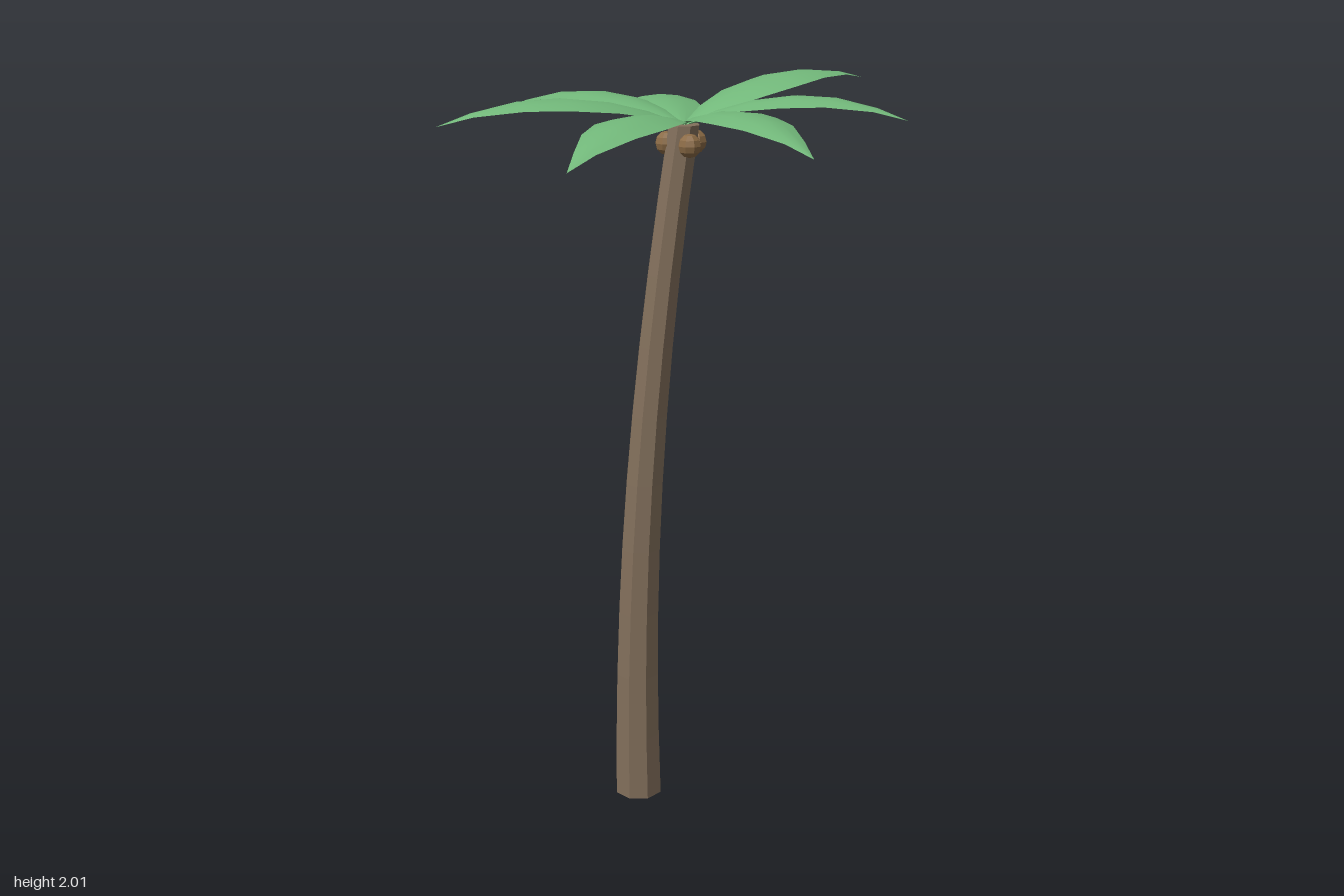
import * as THREE from 'three';

const CROWN = new THREE.Vector3(0.02, 1.9, -0.03);

// Curved, tapering eight-sided trunk
function makeTrunk() {
  const height = 1.9;
  const geo = new THREE.CylinderGeometry(1, 1, height, 8, 10);
  geo.translate(0, height / 2, 0);
  const p = geo.attributes.position;
  for (let i = 0; i < p.count; i++) {
    const t = p.getY(i) / height;
    const r = 0.041 + 0.027 * Math.pow(Math.max(0, 1 - t), 1.3);
    p.setX(i, p.getX(i) * r - 0.115 + 0.135 * t * t);
    p.setZ(i, p.getZ(i) * r - 0.03 + 0.024 * Math.sin(Math.PI * t));
  }
  geo.computeVertexNormals();
  const mesh = new THREE.Mesh(geo, new THREE.MeshStandardMaterial({ color: 0x83705c, flatShading: true }));
  mesh.name = 'trunk';
  return mesh;
}

// Leaf stations: fraction of length, half width
const STATIONS = [[0, 0.006], [0.15, 0.052], [0.31, 0.084], [0.49, 0.095], [0.67, 0.071], [0.86, 0.029], [1, 0]];

// Arched leaf from the crown to its tip, edges drooping from the midrib
function makeLeaf(tip, material) {
  const dir = new THREE.Vector3(tip.x - CROWN.x, 0, tip.z - CROWN.z).normalize();
  const side = new THREE.Vector3(dir.z, 0, -dir.x);
  const cols = 5, pos = [], index = [];
  STATIONS.forEach(([t, w], i) => {
    const mid = CROWN.clone().lerp(tip, t);
    mid.y += 0.26 * t * (1 - t);
    for (let j = 0; j < cols; j++) {
      const u = (2 * j) / (cols - 1) - 1;
      const v = mid.clone().addScaledVector(side, u * w);
      pos.push(v.x, v.y - 0.2 * w * u * u, v.z);
      if (i > 0 && j > 0) {
        const d = i * cols + j, c = d - 1, b = d - cols, a = b - 1;
        index.push(a, c, b, b, c, d);
      }
    }
  });
  const geo = new THREE.BufferGeometry();
  geo.setAttribute('position', new THREE.Float32BufferAttribute(pos, 3));
  geo.setIndex(index);
  geo.computeVertexNormals();
  const mesh = new THREE.Mesh(geo, material);
  mesh.name = 'leaf';
  return mesh;
}

export function createModel() {
  const model = new THREE.Group();
  model.name = 'palmTree';
  model.add(makeTrunk());

  // Seven leaves, given by their tips
  const leaves = new THREE.Group();
  leaves.name = 'leaves';
  const leafMat = new THREE.MeshStandardMaterial({ color: 0x72b87a, side: THREE.DoubleSide });
  const tips = [
    [0.585, 1.935, -0.045], [0.335, 1.975, -0.535], [-0.32, 1.845, -0.55], [-0.59, 1.88, -0.265],
    [-0.46, 1.92, 0.365], [-0.035, 1.865, 0.545], [0.455, 1.885, 0.285],
  ];
  tips.forEach((t) => leaves.add(makeLeaf(new THREE.Vector3(...t), leafMat)));
  model.add(leaves);

  // Three nuts around the top of the trunk
  const nuts = new THREE.Group();
  nuts.name = 'nuts';
  const nutMat = new THREE.MeshStandardMaterial({ color: 0x8a6a45, flatShading: true });
  for (let i = 0; i < 3; i++) {
    const a = THREE.MathUtils.degToRad(50 + 120 * i);
    const nut = new THREE.Mesh(new THREE.SphereGeometry(0.03, 8, 6), nutMat);
    nut.name = 'nut';
    nut.position.set(CROWN.x + 0.044 * Math.cos(a), 1.853, CROWN.z + 0.044 * Math.sin(a));
    nuts.add(nut);
  }
  model.add(nuts);
  return model;
}
